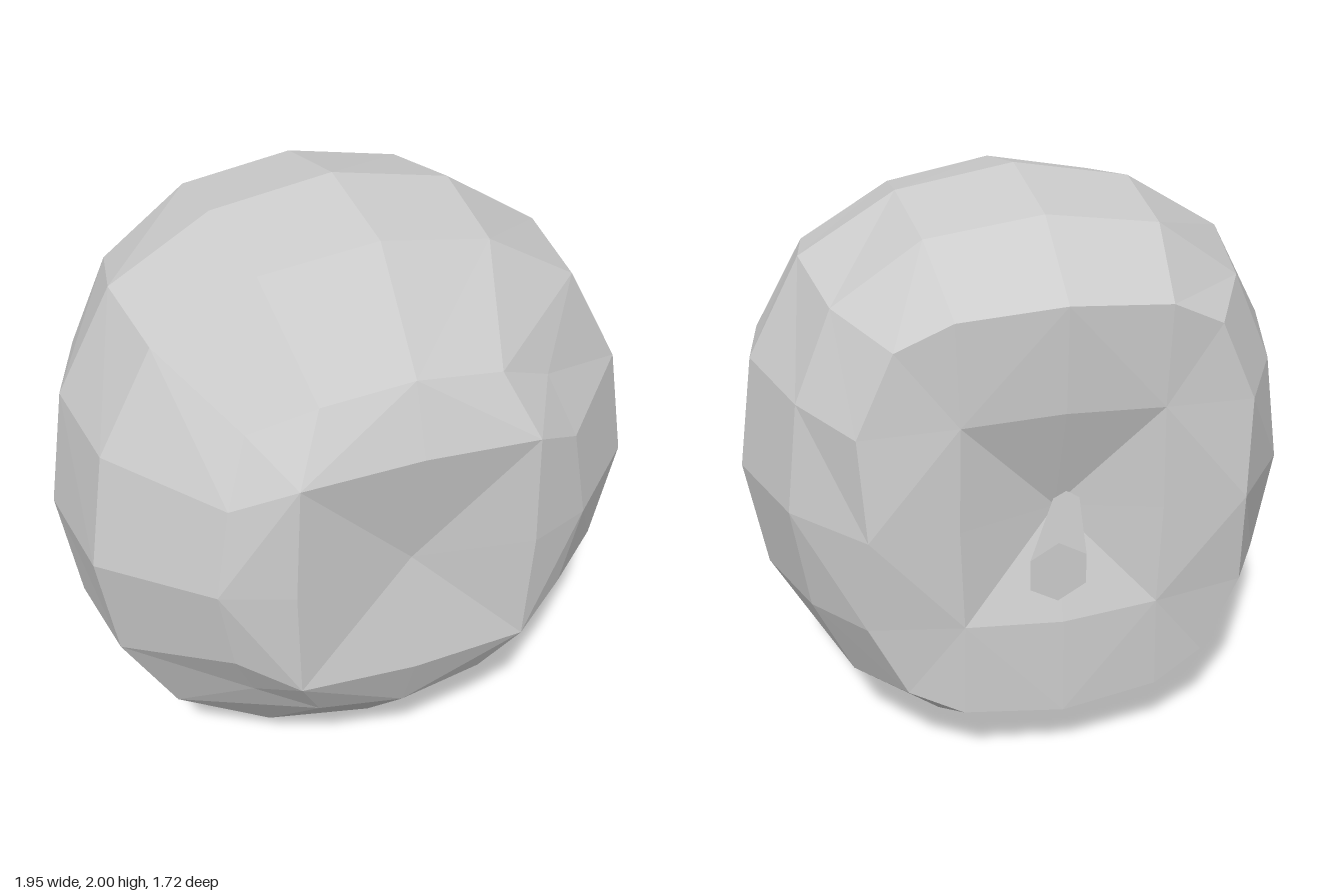
import * as THREE from 'three';

// Mirror one quadrant of a ring (+x axis round to +y axis) into a full loop
function mirrorRing(quarter) {
  const n = quarter.length - 1, ring = [];
  for (let q = 0; q < 4; q++) {
    for (let j = 0; j < n; j++) {
      const [x, y, z] = quarter[q % 2 ? n - j : j];
      ring.push([q === 1 || q === 2 ? -x : x, q >= 2 ? -y : y, z]);
    }
  }
  return ring;
}

function createFruitGeometry() {
  // Sixteen-point rings from the stem end to the blossom end
  const rings = [
    [[0.63, 0, -0.555], [0.645, 0.34, -0.52], [0.52, 0.61, -0.52], [0.34, 0.7, -0.555], [0, 0.732, -0.582]],
    [[0.85, 0, -0.29], [0.8, 0.37, -0.27], [0.67, 0.67, -0.25], [0.38, 0.875, -0.28], [0, 0.932, -0.3]],
    [[0.977, 0, 0.1], [0.915, 0.395, 0.1], [0.73, 0.735, 0.1], [0.4, 0.932, 0.1], [0, 1, 0.1]],
    [[0.93, 0, 0.49], [0.87, 0.37, 0.465], [0.69, 0.69, 0.44], [0.37, 0.87, 0.465], [0, 0.932, 0.49]],
    [[0.62, 0, 0.775], [0.57, 0.29, 0.755], [0.49, 0.49, 0.68], [0.29, 0.58, 0.755], [0, 0.62, 0.775]],
  ].map(mirrorRing);
  const positions = [];
  const quad = (a, b, c, d, flip) => {
    const corners = flip ? [a, d, c, a, c, b] : [a, b, c, a, c, d];
    for (const p of corners) positions.push(p[0], p[1] + 1, p[2]);
  };

  // Round sides
  for (let r = 0; r < rings.length - 1; r++) {
    const a = rings[r], b = rings[r + 1];
    for (let k = 0; k < 16; k++) {
      const m = (k + 1) % 16;
      quad(a[k], a[m], b[m], b[k]);
    }
  }

  // Dimpled square-grid ends
  const cap = (outer, quarter, center, flip) => {
    const inner = mirrorRing(quarter);
    for (let q = 0; q < 4; q++) {
      const o = (j) => outer[(4 * q + j) % 16];
      const i = (j) => inner[(2 * q + j) % 8];
      quad(o(0), o(1), i(1), i(0), flip);
      quad(i(1), o(1), o(2), o(3), flip);
      quad(i(1), o(3), o(4), i(2), flip);
      quad(center, i(0), i(1), i(2), flip);
    }
  };
  cap(rings[4], [[0.4, 0, 0.86], [0.385, 0.38, 0.855], [0, 0.4, 0.86]], [0, 0, 0.795], false);
  cap(rings[0], [[0.34, 0, -0.555], [0.33, 0.36, -0.555], [0, 0.38, -0.57]], [0, 0, -0.45], true);

  const geometry = new THREE.BufferGeometry();
  geometry.setAttribute('position', new THREE.Float32BufferAttribute(positions, 3));
  geometry.computeVertexNormals();
  return geometry;
}

// Six-sided stem, flaring and leaning toward its tip
function createStemGeometry() {
  const geometry = new THREE.CylinderGeometry(0.1, 0.05, 0.41, 6);
  geometry.rotateX(-Math.PI / 2);
  geometry.translate(0, 1.003, -0.655);
  const p = geometry.attributes.position;
  for (let i = 0; i < p.count; i++) {
    p.setX(i, p.getX(i) + 0.105 - 0.35 * (p.getZ(i) + 0.86));
  }
  geometry.computeVertexNormals();
  return geometry;
}

export function createModel() {
  const group = new THREE.Group();
  group.name = 'apple';
  const material = new THREE.MeshStandardMaterial({ color: 0xcccccc, flatShading: true });

  const fruit = new THREE.Mesh(createFruitGeometry(), material);
  fruit.name = 'fruit';
  const stem = new THREE.Mesh(createStemGeometry(), material);
  stem.name = 'stem';
  group.add(fruit, stem);
  return group;
}
